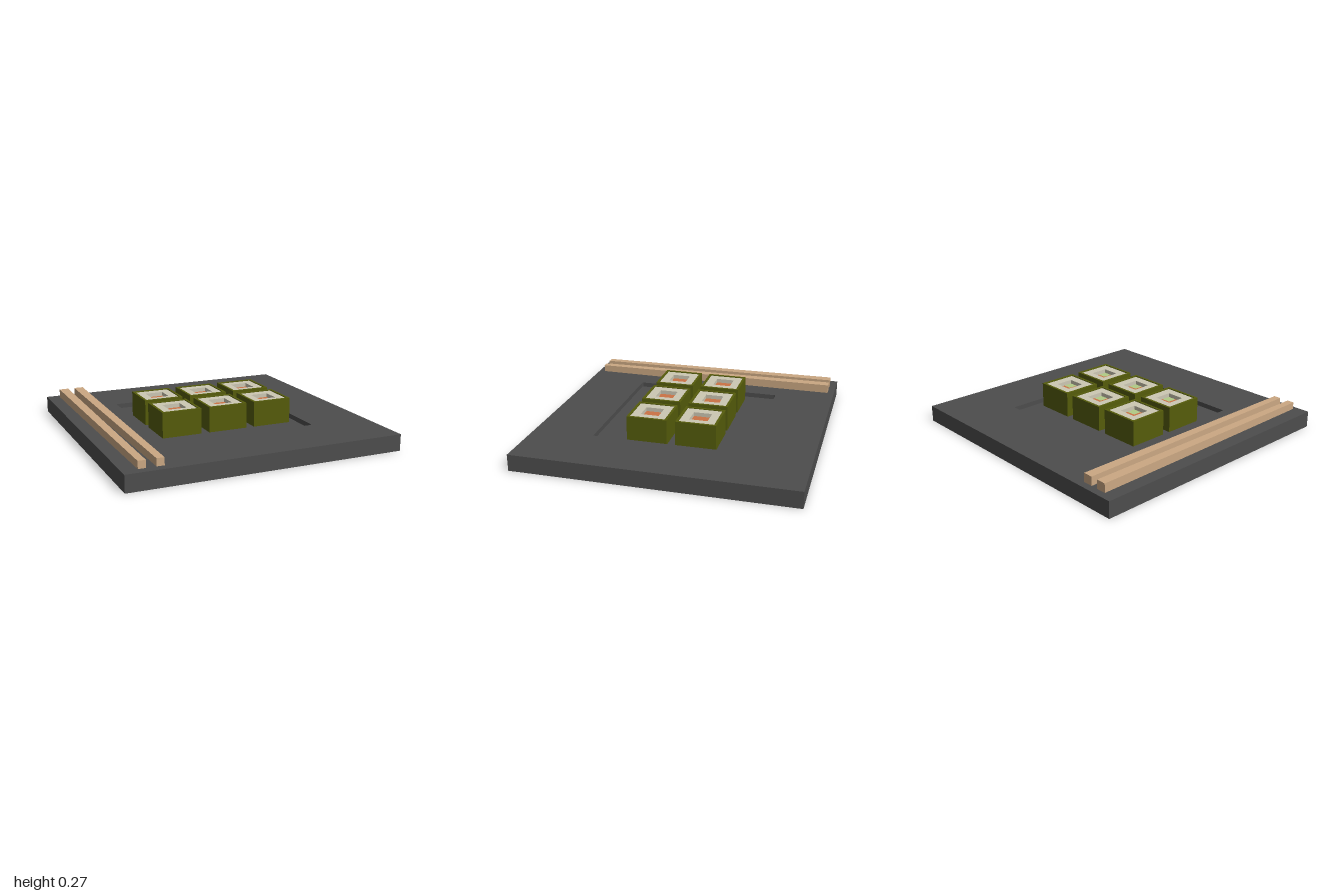
import * as THREE from 'three';

const mat = (color) => new THREE.MeshStandardMaterial({ color, flatShading: true });

// Square outline centred on the origin, optionally with slightly rounded corners
function square(size, r = 0, Type = THREE.Shape) {
  const h = size / 2, s = new Type();
  if (!r) {
    s.moveTo(-h, -h).lineTo(h, -h).lineTo(h, h).lineTo(-h, h).closePath();
    return s;
  }
  s.absarc(h - r, h - r, r, 0, Math.PI / 2);
  s.absarc(-h + r, h - r, r, Math.PI / 2, Math.PI);
  s.absarc(-h + r, -h + r, r, Math.PI, Math.PI * 1.5);
  s.absarc(h - r, -h + r, r, Math.PI * 1.5, Math.PI * 2);
  s.closePath();
  return s;
}

// Upright prism between two heights, with an optional square hole
function prism(name, material, y0, y1, size, r = 0, hole = 0, holeR = 0) {
  const shape = square(size, r);
  if (hole) shape.holes.push(square(hole, holeR, THREE.Path));
  const geo = new THREE.ExtrudeGeometry(shape, { depth: y1 - y0, bevelEnabled: false, curveSegments: 3 });
  geo.rotateX(-Math.PI / 2).translate(0, y0, 0);
  const mesh = new THREE.Mesh(geo, material);
  mesh.name = name;
  return mesh;
}

function block(name, material, w, h, d, x, y, z) {
  const mesh = new THREE.Mesh(new THREE.BoxGeometry(w, h, d), material);
  mesh.name = name;
  mesh.position.set(x, y, z);
  return mesh;
}

export function createModel() {
  const model = new THREE.Group();
  model.name = 'sushiPlate';
  const slate = mat(0x4d4d4d), seaweed = mat(0x555c0b), rice = mat(0xcdc8b4);
  const salmon = mat(0xcc7345), cucumber = mat(0xb2cb86), wood = mat(0xcba883);

  // Square plate with a shallow recess
  const floorY = 0.085, plateTop = 0.12, recess = 1.11;
  model.add(prism('plateRim', slate, 0, plateTop, 2, 0, recess, 0.012));
  model.add(prism('plateFloor', slate, 0, floorY, recess, 0.012));

  // Six square rolls: seaweed wrap, rice ring, sunken filling
  const fillTop = 0.235, fillH = fillTop - floorY, fillY = floorY + fillH / 2;
  const q = 0.066;
  for (const z of [-0.177, 0.177]) {
    for (const x of [-0.353, 0, 0.353]) {
      const roll = new THREE.Group();
      roll.name = 'roll';
      roll.position.set(x, 0, z);
      roll.add(
        prism('seaweedWrap', seaweed, floorY, 0.27, 0.292, 0, 0.256),
        prism('riceRing', rice, floorY, 0.264, 0.256, 0, q * 2),
        block('salmonStrip', salmon, q, fillH, q * 2, -q / 2, fillY, 0),
        block('salmonPiece', salmon, q, fillH, q, q / 2, fillY, -q / 2),
        block('cucumberPiece', cucumber, q, fillH, q, q / 2, fillY, q / 2),
      );
      model.add(roll);
    }
  }

  // Two chopsticks, tapering towards the front
  for (const x of [-0.871, -0.75]) {
    const geo = new THREE.BoxGeometry(0.07, 0.066, 1.9);
    const p = geo.attributes.position;
    for (let i = 0; i < p.count; i++) {
      if (p.getZ(i) > 0) p.setXY(i, p.getX(i) * 0.76, p.getY(i) * 0.8);
    }
    geo.computeVertexNormals();
    const stick = new THREE.Mesh(geo, wood);
    stick.name = 'chopstick';
    stick.position.set(x, 0.151, 0);
    model.add(stick);
  }
  return model;
}
